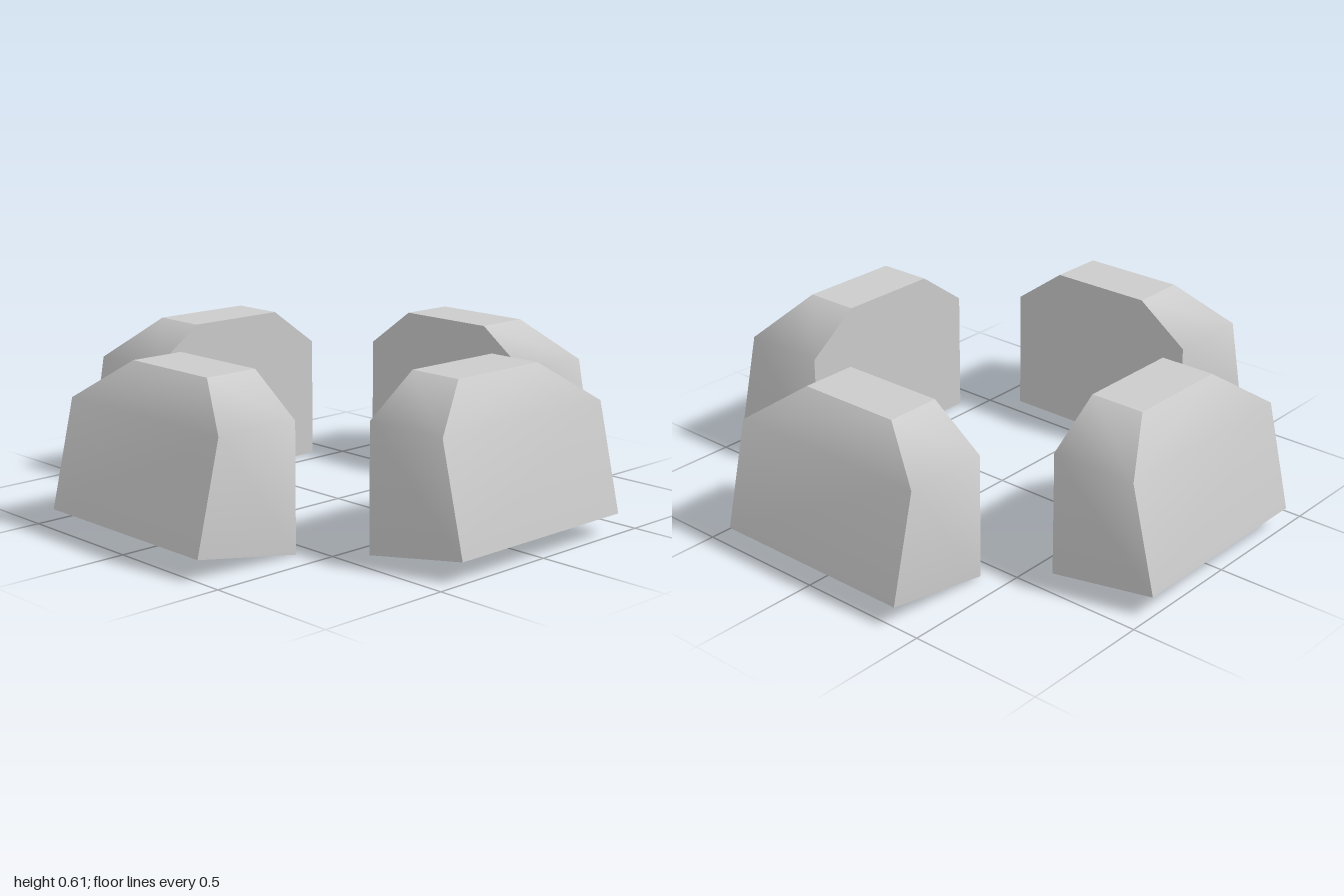
import * as THREE from 'three';

// Inner (at z = 0.575) and outer outlines, counter-clockwise seen from outside
const INNER = [
  [-0.4, 0, 0.575], [0.4, 0, 0.575], [0.4, 0.465, 0.575],
  [0.2, 0.61, 0.575], [-0.2, 0.61, 0.575], [-0.4, 0.465, 0.575],
];
const OUTER = [
  [-0.4, 0.075, 1], [0.4, 0.075, 1], [0.4, 0.465, 0.905],
  [0.2, 0.61, 0.785], [-0.2, 0.61, 0.785], [-0.4, 0.465, 0.905],
];

// Quad joining outline edge i of the inner ring to the outer ring
const band = (i) => [i, (i + 1) % 6, (i + 1) % 6 + 6, i + 6];

// Faces in one group share vertices and shade smoothly; groups meet at hard edges
const SMOOTH_GROUPS = [
  [[6, 7, 8, 11], [11, 8, 9, 10]], // sloping outer face
  [[5, 4, 3, 2, 1, 0]],            // flat inner face
  [band(0)],                       // slanted underside
  [band(1), band(2)],              // +x side and shoulder
  [band(3)],                       // top
  [band(4), band(5)],              // -x side and shoulder
];

function blockGeometry() {
  const ring = [...INNER, ...OUTER];
  const positions = [];
  const indices = [];
  for (const group of SMOOTH_GROUPS) {
    const base = positions.length / 3;
    const used = [...new Set(group.flat())];
    used.forEach((v) => positions.push(...ring[v]));
    for (const face of group) {
      const f = face.map((v) => base + used.indexOf(v));
      for (let k = 1; k < f.length - 1; k++) indices.push(f[0], f[k], f[k + 1]);
    }
  }
  const geometry = new THREE.BufferGeometry();
  geometry.setAttribute('position', new THREE.Float32BufferAttribute(positions, 3));
  geometry.setIndex(indices);
  geometry.computeVertexNormals();
  return geometry;
}

export function createModel() {
  const model = new THREE.Group();
  model.name = 'blockRing';
  const geometry = blockGeometry();
  const material = new THREE.MeshStandardMaterial({ color: 0xcccccc });

  // Four identical blocks, a quarter turn apart
  ['frontBlock', 'leftBlock', 'backBlock', 'rightBlock'].forEach((name, i) => {
    const block = new THREE.Mesh(geometry, material);
    block.name = name;
    block.rotation.y = i * Math.PI / 2;
    model.add(block);
  });
  return model;
}
